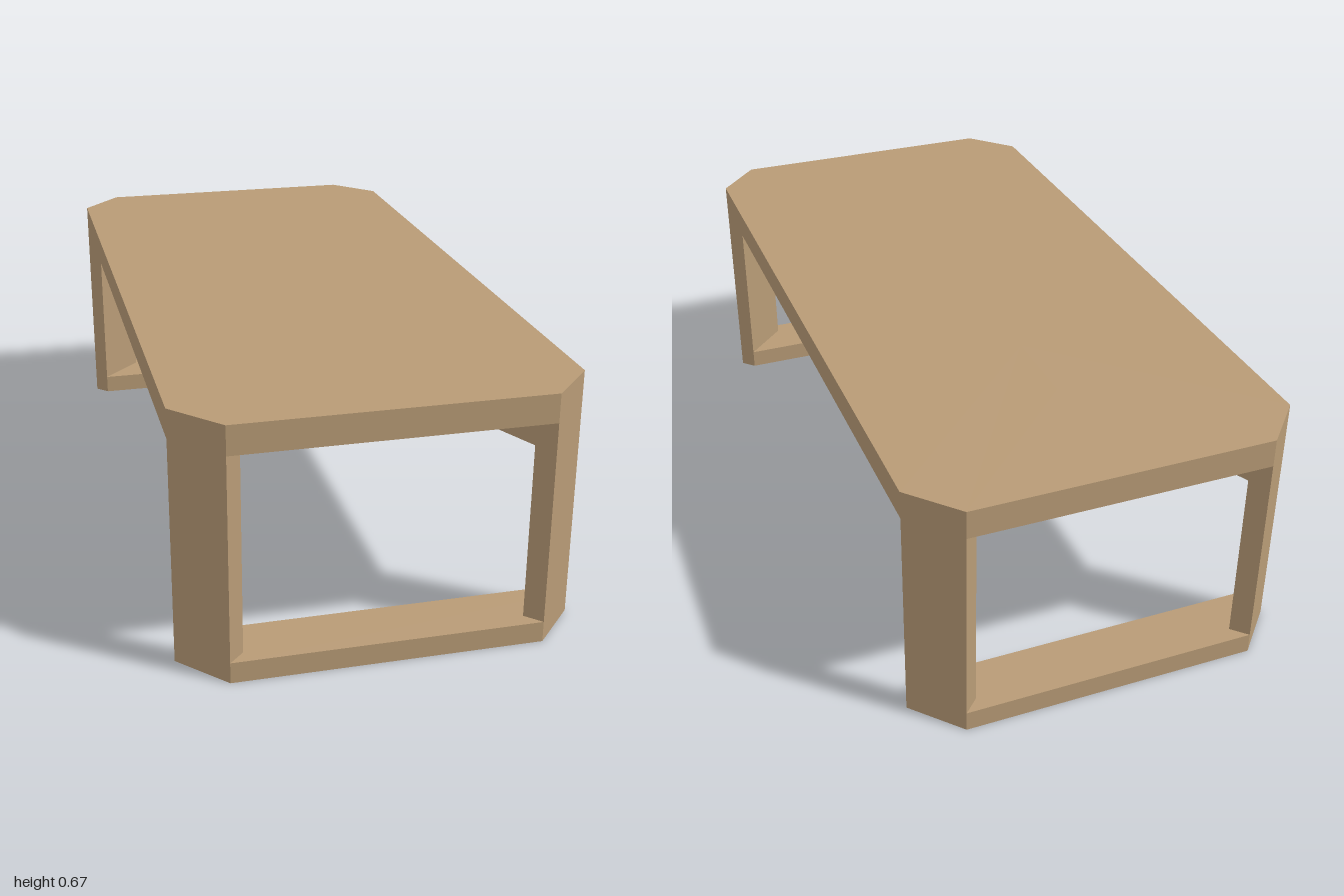
import * as THREE from 'three';

const wood = new THREE.MeshStandardMaterial({ color: 0xb89b76 });
wood.name = 'wood';

// Board cut to a floor-plan outline of [x, z] points, between two heights
function board(name, outline, bottom, top) {
  const shape = new THREE.Shape(outline.map(([x, z]) => new THREE.Vector2(x, z)));
  const geo = new THREE.ExtrudeGeometry(shape, { depth: top - bottom, bevelEnabled: false });
  geo.rotateX(Math.PI / 2).translate(0, top, 0);
  const mesh = new THREE.Mesh(geo, wood);
  mesh.name = name;
  return mesh;
}

// Plan positions: inner and outer edge of a leg, its inner face, and its outer corners
const A = 0.275, B = 0.443, IN = 0.945, OUT = 1, SIDE = 0.993;
// Heights
const FOOT = 0.055, BEAM = 0.49, UNDER = 0.59, TOP = 0.665;

// One end of the table: two legs, foot rail, chevron band and corner panel
function tableEnd(name) {
  const end = new THREE.Group();
  end.name = name;
  const leg = [[A, SIDE], [B, OUT], [B, IN], [A, IN]];
  end.add(
    board('leftLeg', leg.map(([x, z]) => [z, x]), FOOT, UNDER),
    board('rightLeg', leg, FOOT, UNDER),
    board('footRail', [[A, SIDE], [B, OUT], [OUT, B], [SIDE, A], [IN, A], [A, IN]], 0, FOOT),
    board('chevronBand', [[A, SIDE], [B, OUT], [B, B], [OUT, B], [SIDE, A], [A, A]], UNDER, TOP),
    board('endPanel', [[B, OUT], [OUT, B], [B, B]], UNDER, TOP),
  );
  return end;
}

export function createModel() {
  const table = new THREE.Group();
  table.name = 'table';

  const front = tableEnd('frontEnd');
  const back = tableEnd('backEnd');
  back.rotation.y = Math.PI;
  table.add(front, back);

  // Main top panel between the two chevrons
  table.add(board('centrePanel',
    [[A, SIDE], [A, A], [SIDE, A], [-A, -SIDE], [-A, -A], [-SIDE, -A]], UNDER, TOP));

  // Crossed beams under the top, joining opposite legs
  const slope = Math.atan2(0.36, 1);
  for (const angle of [slope, Math.PI / 2 - slope]) {
    const beam = new THREE.Mesh(new THREE.BoxGeometry(2.06, UNDER - BEAM, 0.09), wood);
    beam.name = 'crossBeam';
    beam.position.y = (UNDER + BEAM) / 2;
    beam.rotation.y = -angle;
    table.add(beam);
  }
  return table;
}
